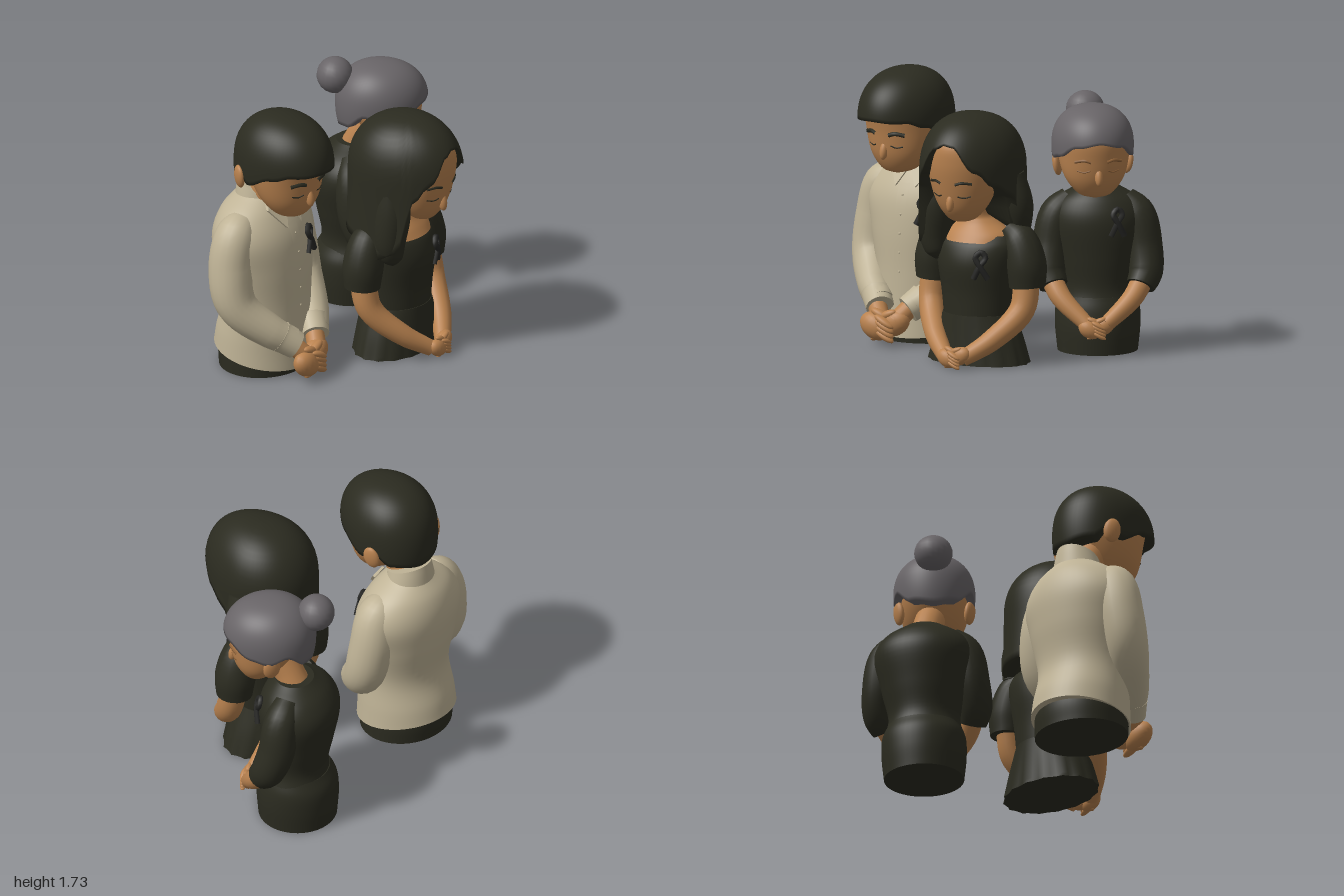
import * as THREE from 'three';

const paint = (name, color) => Object.assign(new THREE.MeshStandardMaterial({ color }), { name });
const skinTone = paint('skin', 0xb9824f);
const shade = paint('skin shade', 0x8f6238);
const cream = paint('cream cloth', 0xbfb396);
const black = paint('black hair and cloth', 0x2b2b20);
const grey = paint('grey hair', 0x686467);
const charcoal = paint('ribbon charcoal', 0x262624);
const V = (x, y, z) => new THREE.Vector3(x, y, z);

function add(parent, name, geometry, material) {
  const mesh = new THREE.Mesh(geometry, material);
  mesh.name = name;
  parent.add(mesh);
  return mesh;
}
function group(parent, name, x, y, z) {
  const g = new THREE.Group();
  g.name = name;
  g.position.set(x, y, z);
  parent.add(g);
  return g;
}

// Closed surface from rings; at(angle, row) gives each point, flat caps close the ends
function wrap(at, rows, seg = 40) {
  const pos = [], idx = [];
  const ring = (i) => {
    const start = pos.length / 3;
    for (let j = 0; j < seg; j++) pos.push(...at((j / seg) * Math.PI * 2, i).toArray());
    return start;
  };
  for (let i = 0; i < rows; i++) {
    const b = ring(i);
    if (i) for (let j = 0; j < seg; j++) {
      const k = (j + 1) % seg, a = b - seg;
      idx.push(a + j, a + k, b + k, a + j, b + k, b + j);
    }
  }
  for (const i of [0, rows - 1]) {
    const s = ring(i), c = V(0, 0, 0);
    for (let j = 0; j < seg; j++) c.add(V(...pos.slice((s + j) * 3, (s + j) * 3 + 3)));
    pos.push(...c.divideScalar(seg).toArray());
    for (let j = 0; j < seg; j++) {
      const k = (j + 1) % seg;
      idx.push(s + seg, s + (i ? j : k), s + (i ? k : j));
    }
  }
  const g = new THREE.BufferGeometry();
  g.setAttribute('position', new THREE.Float32BufferAttribute(pos, 3));
  g.setIndex(idx);
  g.computeVertexNormals();
  return g;
}

// Smooth sections from rows of [y, centre z, half width, half depth]
function smooth(rows, per = 6) {
  const spline = new THREE.CubicInterpolant(rows.map((_, i) => i), rows.flat(), 4);
  return Array.from({ length: (rows.length - 1) * per + 1 }, (_, i) => Array.from(spline.evaluate(i / per)));
}
function loft(rows, bend = (p) => p) {
  const s = smooth(rows);
  return wrap((a, i) => bend(V(Math.max(s[i][2], 0.005) * Math.sin(a), s[i][0],
    s[i][1] + Math.max(s[i][3], 0.005) * Math.cos(a)), a), s.length, 48);
}
// Front point of a loft at (x, y)
function frontOf(rows) {
  const s = smooth(rows);
  return (x, y, out = 0) => {
    let i = 0;
    while (i < s.length - 2 && s[i + 1][0] < y) i++;
    const t = THREE.MathUtils.clamp((y - s[i][0]) / (s[i + 1][0] - s[i][0]), 0, 1);
    const [, cz, rx, rz] = s[i].map((v, k) => v + (s[i + 1][k] - v) * t);
    return V(x, y, cz + rz * Math.sqrt(Math.max(0, 1 - (x / rx) ** 2)) + out);
  };
}

// Tapered limb through [x, y, z, radius] points
function limb(pts) {
  const curve = new THREE.CatmullRomCurve3(pts.map((p) => V(p[0], p[1], p[2])));
  const radius = new THREE.CubicInterpolant(pts.map((_, i) => i), pts.map((p) => p[3]), 1);
  const n = (pts.length - 1) * 6;
  return wrap((a, i) => {
    const t = curve.getTangent(i / n), A = V(1, 0, 0).addScaledVector(t, -t.x).normalize();
    const B = t.clone().cross(A), r = radius.evaluate((i / n) * (pts.length - 1))[0];
    return curve.getPoint(i / n).addScaledVector(A, r * Math.cos(a)).addScaledVector(B, r * Math.sin(a));
  }, n + 1, 20);
}
function ball(parent, name, material, p, s, rot = [0, 0, 0]) {
  const m = add(parent, name, new THREE.SphereGeometry(1, 20, 14), material);
  m.position.set(...p);
  m.scale.set(...s);
  m.rotation.set(...rot);
  return m;
}
function line(parent, name, material, pts, r) {
  return add(parent, name, new THREE.TubeGeometry(new THREE.CatmullRomCurve3(pts), 24, r, 6), material);
}

// Hair shell: dome down to edge(angle), then hanging; narrow slims the front, lip tucks inwards
function hairShell([rx, ry, rz], edge, taper, narrow) {
  const rows = 22, flat = 0.9;
  return wrap((u, i) => {
    const y = edge(u > Math.PI ? u - 2 * Math.PI : u);
    const end = y > 0 ? Math.acos((y / ry) ** (1 / flat)) : Math.PI / 2 - y / ry;
    const th = Math.max(0.02, end * (1 - Math.max(0, i - 1) / (rows - 2)));
    const over = Math.max(0, th - Math.PI / 2);
    const r = (over ? 1 - taper * over * over : Math.sin(th) ** 0.85) * (i ? 1 : 0.78);
    return V(rx * r * Math.sin(u) * (1 - narrow * Math.cos(u)),
      over ? -over * ry : ry * Math.max(0, Math.cos(th)) ** flat, rz * r * Math.cos(u));
  }, rows, 64);
}
const ramp = (keys) => (x) => {
  for (let i = 1; i < keys.length; i++) if (x <= keys[i][0]) {
    const t = THREE.MathUtils.smoothstep(x, keys[i - 1][0], keys[i][0]);
    return keys[i - 1][1] + (keys[i][1] - keys[i - 1][1]) * t;
  }
  return keys[keys.length - 1][1];
};

// Head with ears, nose, brows and closed eyes
function face(parent, rows, o) {
  add(parent, 'head', loft(rows), skinTone);
  const f = frontOf(rows);
  ball(parent, 'nose', skinTone, f(0, o.nose + 0.015, -0.005).toArray(), [0.026, 0.06, 0.03], [-0.35, 0, 0]);
  for (const s of [-1, 1]) {
    ball(parent, 'ear', skinTone, [s * o.ear[0], o.ear[1], o.ear[2]], [0.028, 0.078, 0.055], [0, s * 0.4, -s * 0.15]);
    line(parent, 'brow', o.browMat, [0.05, 0.09, 0.145].map((x, i) => f(s * x, o.brow + [0, 0.01, -0.004][i])), o.browR);
    line(parent, 'closedEye', o.eyeMat, [0.055, 0.09, 0.13].map((x, i) => f(s * x, o.eye - [0, 0.012, 0.006][i], -0.001)), 0.005);
  }
}

// Folded hands, one over the other
function hands(parent, x, y, z, k) {
  const g = group(parent, 'hands', x, y, z);
  g.scale.setScalar(k);
  for (const s of [-1, 1]) {
    ball(g, 'palm', skinTone, [s * 0.055, s * 0.012, s * -0.012], [0.1, 0.074, 0.062], [0, 0, s * 0.5]);
    ball(g, 'thumb', skinTone, [s * 0.025, 0.06, 0.015], [0.06, 0.025, 0.028], [0, 0, s * 0.4]);
    for (let i = 0; i < 4; i++)
      ball(g, 'finger', skinTone, [-s * 0.02, 0.024 - i * 0.027, 0.032 - s * 0.012], [0.068, 0.022, 0.03], [0, 0, s * 0.5]);
  }
}
function ribbon(parent, front, x, y) {
  const path = [[-0.042, -0.085], [0.0, 0], [0.028, 0.05], [0, 0.082], [-0.028, 0.05], [0, 0], [0.042, -0.085]];
  line(parent, 'ribbon', charcoal, path.map(([dx, dy], i) => front(x + dx, y + dy, 0.006 + i * 0.002)), 0.019);
}
const bothSides = (fn) => [-1, 1].forEach(fn);
const mirror = (pts, s) => pts.map(([x, y, z, r]) => [s * x, y, z, r]);

function buildMan(root) {
  const man = group(root, 'man', -0.25, 0, 0.535);
  man.rotation.y = Math.PI / 2;
  const shirt = [[0.09, -0.015, 0.315, 0.305], [0.22, -0.01, 0.31, 0.29], [0.45, 0.01, 0.3, 0.26],
    [0.7, -0.01, 0.345, 0.275], [0.9, -0.03, 0.375, 0.268], [1.05, -0.045, 0.29, 0.215], [1.16, -0.045, 0.13, 0.13]];
  add(man, 'trousers', loft([[0, -0.01, 0.305, 0.27], [0.12, -0.01, 0.305, 0.275], [0.25, -0.01, 0.28, 0.25]]), black);
  add(man, 'shirt', loft(shirt, (p) => { p.y -= 0.25 * p.z * Math.max(0, 1 - p.y / 0.4); return p; }), cream);
  const front = frontOf(shirt);
  // Front placket with buttons
  const placket = new THREE.PlaneGeometry(0.08, 0.64, 6, 20), q = placket.attributes.position;
  for (let i = 0; i < q.count; i++) q.setXYZ(i, ...front(q.getX(i) - 0.01, q.getY(i) + 0.68, 0.009).toArray());
  placket.computeVertexNormals();
  add(man, 'placket', placket, cream);
  for (let i = 0; i < 5; i++) ball(man, 'button', cream, front(-0.01, 0.45 + i * 0.12, 0.01).toArray(), [0.007, 0.007, 0.005]);
  ribbon(man, front, 0.14, 0.84);
  // Collar band and points
  add(man, 'collar', loft([[1.05, -0.035, 0.17, 0.16], [1.13, -0.04, 0.15, 0.145], [1.19, -0.04, 0.135, 0.135]],
    (p) => { p.y -= 0.4 * p.z; return p; }), cream);
  bothSides((s) => {
    const flap = new THREE.Shape([[0.015, 1.08], [0.07, 0.98], [0.15, 1.1], [0.11, 1.18]].map(([x, y]) => new THREE.Vector2(s * x, y)));
    const g = new THREE.ExtrudeGeometry(flap, { depth: 0.02, bevelEnabled: false }), p = g.attributes.position;
    for (let i = 0; i < p.count; i++) p.setZ(i, p.getZ(i) + 0.222 - (p.getY(i) - 0.98) * 0.65 - Math.abs(p.getX(i)) * 0.2);
    g.computeVertexNormals();
    add(man, 'collarPoint', g, cream);
    add(man, 'sleeve', limb(mirror([[0.19, 1.01, -0.02, 0.095], [0.275, 0.94, -0.02, 0.13], [0.325, 0.74, -0.02, 0.14],
      [0.335, 0.51, 0.03, 0.13], [0.22, 0.33, 0.2, 0.107], [0.12, 0.25, 0.3, 0.088]], s).map(([x, ...r]) => [x - 0.01, ...r])), cream);
    add(man, 'cuff', limb(mirror([[0.165, 0.29, 0.25, 0.101], [0.1, 0.225, 0.325, 0.088]], s).map(([x, ...r]) => [x - 0.02, ...r])), cream);
    add(man, 'wrist', limb(mirror([[0.12, 0.24, 0.31, 0.06], [0.05, 0.15, 0.385, 0.06]], s).map(([x, ...r]) => [x - 0.03, ...r])), skinTone);
  });
  hands(man, -0.05, 0.13, 0.385, 1.1);
  add(man, 'neck', limb([[-0.01, 1.05, -0.03, 0.115], [-0.015, 1.2, 0.03, 0.11], [-0.025, 1.32, 0.1, 0.11]]), skinTone);
  const head = group(man, 'manHead', -0.03, 1.42, 0.18);
  head.rotation.set(0.12, -0.14, 0, 'YXZ');
  face(head, [[-0.33, 0.1, 0.05, 0.04], [-0.3, 0.075, 0.13, 0.11], [-0.2, 0.04, 0.205, 0.185], [-0.05, 0, 0.245, 0.235],
    [0.1, 0, 0.245, 0.24], [0.22, 0, 0.19, 0.19], [0.27, 0, 0.07, 0.07]],
  { nose: -0.18, eye: -0.13, brow: -0.06, ear: [0.25, -0.1, -0.15], browMat: black, browR: 0.014, eyeMat: black });
  const edge = ramp([[0, 0.05], [0.8, 0.03], [1.2, -0.02], [1.75, -0.12], [2.0, -0.06], [2.4, -0.16], [3.15, -0.19]]);
  const hair = add(head, 'manHair', hairShell([0.275, 0.305, 0.345], (a) => edge(Math.abs(a)), 0.2, 0.06), black);
  hair.position.z = -0.01;
}

function buildYoungWoman(root) {
  const woman = group(root, 'youngWoman', 0.28, 0, -0.16);
  woman.rotation.y = Math.PI / 2;
  const dress = [[0.3, -0.03, 0.225, 0.205], [0.45, -0.03, 0.24, 0.215], [0.62, -0.03, 0.265, 0.235], [0.74, -0.04, 0.285, 0.215], [0.81, -0.05, 0.265, 0.17]];
  add(woman, 'bodice', loft(dress), black);
  add(woman, 'skirt', loft([[0, -0.03, 0.335, 0.23], [0.15, -0.03, 0.29, 0.22], [0.31, -0.03, 0.23, 0.21]], (p, a) => {
    const k = 1 + 0.025 * Math.cos(16 * a) * Math.max(0, 1 - p.y / 0.31);
    return p.multiply(V(k, 1, k));
  }), black);
  add(woman, 'chest', loft([[0.77, -0.02, 0.235, 0.185], [0.82, -0.02, 0.215, 0.155], [0.89, -0.02, 0.13, 0.11], [0.95, 0, 0.09, 0.085], [1.12, 0.07, 0.085, 0.085]]), skinTone);
  ribbon(woman, frontOf(dress), 0.13, 0.64);
  bothSides((s) => {
    add(woman, 'sleeve', limb(mirror([[0.2, 0.85, -0.05, 0.065], [0.275, 0.78, -0.05, 0.11], [0.325, 0.63, -0.05, 0.128], [0.335, 0.49, -0.05, 0.113]], s)), black);
    add(woman, 'arm', limb(mirror([[0.33, 0.55, -0.05, 0.085], [0.325, 0.35, 0.0, 0.08], [0.2, 0.17, 0.16, 0.067], [0.06, 0.06, 0.28, 0.05]], s)), skinTone);
  });
  hands(woman, 0.01, 0.07, 0.3, 0.74);
  const head = group(woman, 'youngWomanHead', 0, 1.22, 0.14);
  head.rotation.x = 0.2;
  face(head, [[-0.29, 0.09, 0.04, 0.035], [-0.265, 0.075, 0.105, 0.09], [-0.17, 0.04, 0.175, 0.17], [-0.03, 0.01, 0.22, 0.215],
    [0.12, 0, 0.22, 0.22], [0.24, 0, 0.17, 0.18], [0.28, 0, 0.06, 0.06]],
  { nose: -0.145, eye: -0.085, brow: -0.005, ear: [0.215, -0.06, -0.04], browMat: black, browR: 0.009, eyeMat: black });
  // Curtain parting in front, long hair down the back and over one shoulder
  const right = ramp([[0, 0.2], [0.25, 0.19], [0.75, 0.03], [1.15, -0.07], [1.5, -0.14], [1.9, -0.38], [3.15, -0.38]]);
  const left = ramp([[0, 0.2], [0.25, 0.17], [0.7, 0.0], [0.95, -0.1], [1.25, -0.46], [1.6, -0.52], [2.2, -0.42], [3.15, -0.38]]);
  const hair = add(woman, 'longHair', hairShell([0.315, 0.36, 0.385], (a) => (a > 0 ? right(a) : left(-a)), -0.02, 0.12), black);
  hair.position.set(-0.01, 1.22, 0.06);
  add(woman, 'frontLock', limb([[-0.225, 1.22, 0.1, 0.08], [-0.225, 1.0, 0.1, 0.115], [-0.245, 0.8, 0.095, 0.1], [-0.23, 0.69, 0.1, 0.07], [-0.22, 0.64, 0.1, 0.015]]), black);
  add(woman, 'backLock', limb([[0.24, 1.2, -0.02, 0.08], [0.28, 1.0, -0.05, 0.085], [0.27, 0.82, -0.1, 0.05]]), black);
}

function buildGrandmother(root) {
  const elder = group(root, 'grandmother', -0.42, 0, -0.62);
  elder.rotation.y = THREE.MathUtils.degToRad(119);
  const top = [[0.3, 0, 0.25, 0.22], [0.42, 0, 0.225, 0.2], [0.6, -0.01, 0.265, 0.225], [0.82, -0.02, 0.31, 0.25], [0.95, -0.01, 0.26, 0.205], [1.04, 0.01, 0.13, 0.12]];
  add(elder, 'skirt', loft([[0, -0.01, 0.25, 0.245], [0.15, -0.01, 0.265, 0.255], [0.27, -0.01, 0.262, 0.245], [0.36, 0, 0.23, 0.21]]), black);
  add(elder, 'blouse', loft(top), black);
  ribbon(elder, frontOf(top), 0.13, 0.84);
  bothSides((s) => {
    add(elder, 'sleeve', limb(mirror([[0.16, 0.96, 0.01, 0.08], [0.25, 0.86, 0.03, 0.11], [0.29, 0.66, 0.05, 0.115], [0.3, 0.51, 0.1, 0.108], [0.27, 0.43, 0.15, 0.09]], s)), black);
    add(elder, 'forearm', limb(mirror([[0.29, 0.48, 0.11, 0.07], [0.22, 0.36, 0.2, 0.064], [0.06, 0.21, 0.29, 0.048]], s)), skinTone);
  });
  hands(elder, 0, 0.19, 0.3, 0.75);
  add(elder, 'neck', limb([[0, 1.0, 0.02, 0.1], [-0.01, 1.08, 0.06, 0.095], [-0.02, 1.2, 0.14, 0.095]]), skinTone);
  const head = group(elder, 'grandmotherHead', -0.02, 1.3, 0.205);
  head.rotation.set(0.06, 0.19, 0, 'YXZ');
  face(head, [[-0.28, 0.07, 0.04, 0.035], [-0.255, 0.06, 0.11, 0.09], [-0.16, 0.03, 0.185, 0.17], [-0.03, 0, 0.22, 0.22],
    [0.1, 0, 0.22, 0.22], [0.2, 0, 0.16, 0.16], [0.24, 0, 0.05, 0.05]],
  { nose: -0.14, eye: -0.085, brow: -0.03, ear: [0.22, -0.09, -0.05], browMat: shade, browR: 0.01, eyeMat: shade });
  const edge = ramp([[0, 0.06], [0.6, 0.03], [1.2, -0.05], [1.6, -0.08], [2.0, -0.04], [2.5, -0.14], [3.15, -0.17]]);
  const hair = add(head, 'greyHair', hairShell([0.255, 0.25, 0.29], (a) => edge(Math.abs(a)), 0.2, 0.04), grey);
  hair.position.set(0, 0.03, -0.03);
  ball(head, 'hairBun', grey, [0, 0.18, -0.33], [0.12, 0.115, 0.115]);
}

export function createModel() {
  const model = new THREE.Group();
  model.name = 'mourningFamily';
  buildMan(model);
  buildYoungWoman(model);
  buildGrandmother(model);
  return model;
}
